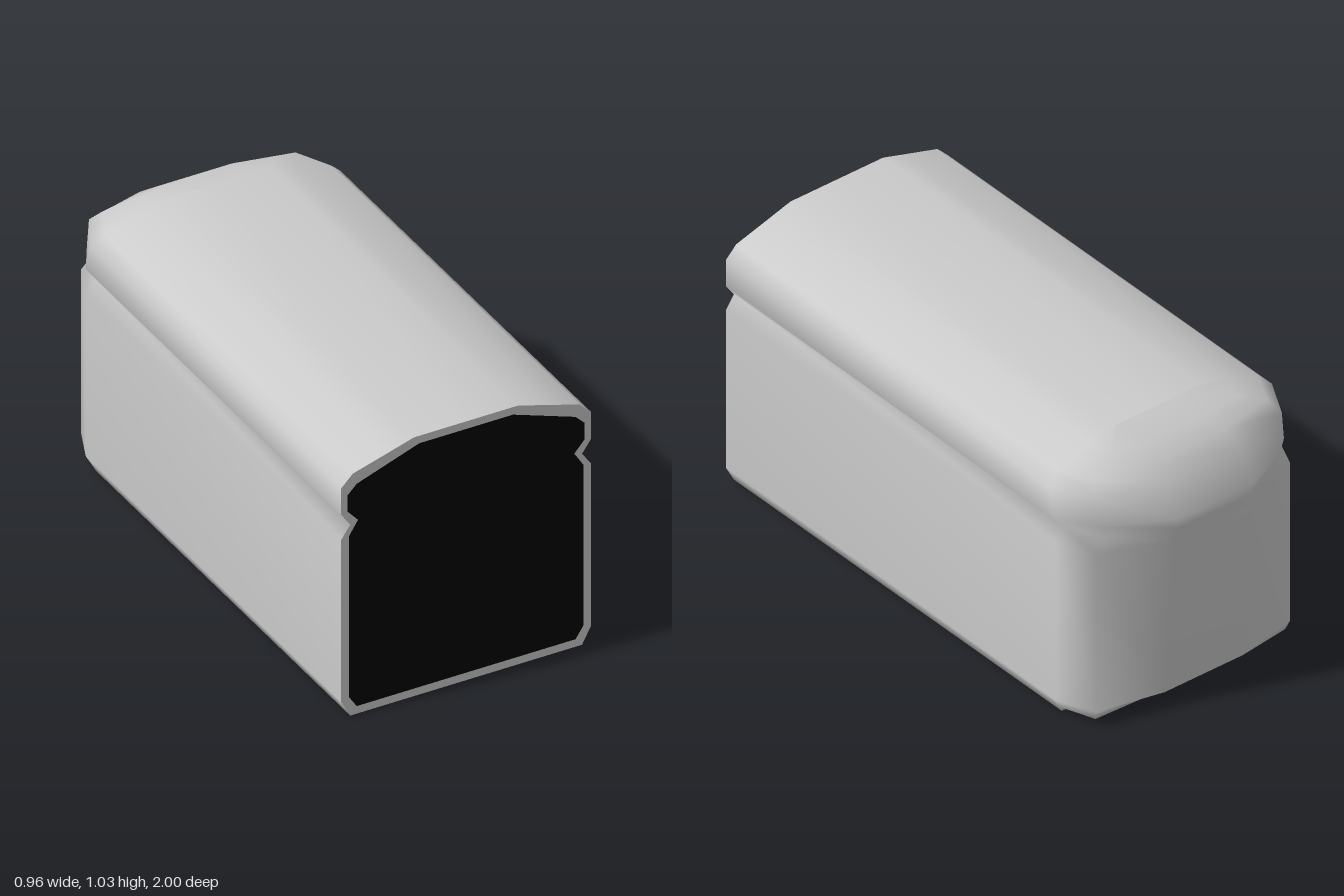
import * as THREE from 'three';

// Horizontal sections of the crust, bottom to top:
// [height, half width, z where the rounded end starts, corner x, corner z, z of the end]
const SECTIONS = [
  [0, 0.445, -0.73, 0.39, -0.73, -0.73],
  [0.025, 0.458, -0.735, 0.41, -0.865, -0.875],
  [0.065, 0.48, -0.74, 0.42, -0.88, -0.935],
  [0.71, 0.48, -0.74, 0.42, -0.88, -0.985],
  [0.76, 0.445, -0.74, 0.395, -0.86, -0.99],
  [0.81, 0.48, -0.74, 0.405, -0.865, -1],
  [0.915, 0.48, -0.71, 0.4, -0.86, -0.925],
  [0.96, 0.435, -0.69, 0.37, -0.82, -0.865],
  [1.0, 0.30, -0.69, 0.27, -0.78, -0.81],
  [1.03, 0.20, -0.69, 0.17, -0.69, -0.69],
];

// Half outline of the crumb, bottom to top
const CRUMB = [
  [0.42, 0.03], [0.45, 0.075], [0.45, 0.715], [0.415, 0.77],
  [0.455, 0.815], [0.455, 0.88], [0.42, 0.915], [0.18, 1.0],
];

// Closed outline mirrored about x = 0
function mirrored(half) {
  const other = half.map(([x, y]) => [-x, y]).reverse();
  return [...half, ...other].map(([x, y]) => new THREE.Vector2(x, y));
}

// Path from the front at +x, round the end, to the front at -x
function sectionPath([y, w, z0, cx, cz, z1]) {
  const half = [[w, y, 1], [w, y, z0], [cx, y, cz], [w * 0.35, y, z1]];
  return [...half, ...half.map(([x, , z]) => [-x, y, z]).reverse()];
}

function crustGeometry() {
  const rows = SECTIONS.map(sectionPath);
  // Flat underside and flat top meet on the centre line
  const toCentre = (row) => row.map(([, y, z]) => [0, y, z]);
  rows.unshift(toCentre(rows[0]));
  rows.push(toCentre(rows[rows.length - 1]));

  const n = rows[0].length;
  const index = [];
  for (let i = 0; i < rows.length - 1; i++) {
    for (let j = 0; j < n - 1; j++) {
      const a = i * n + j, b = a + 1, c = a + n, d = c + 1;
      index.push(a, b, c, b, d, c);
    }
  }
  const geometry = new THREE.BufferGeometry();
  geometry.setAttribute('position', new THREE.Float32BufferAttribute(rows.flat(2), 3));
  geometry.setIndex(index);
  geometry.computeVertexNormals();
  return geometry;
}

export function createModel() {
  const loaf = new THREE.Group();
  loaf.name = 'loaf';
  const crustMaterial = new THREE.MeshStandardMaterial({ color: 0xcccccc });
  const crumbMaterial = new THREE.MeshStandardMaterial({ color: 0x000000 });

  const add = (name, geometry, material) => {
    const mesh = new THREE.Mesh(geometry, material);
    mesh.name = name;
    loaf.add(mesh);
    return mesh;
  };

  // Crust shell with the rounded end
  add('crust', crustGeometry(), crustMaterial);

  // Cut edge of the crust around the crumb
  const rim = new THREE.Shape(mirrored(SECTIONS.map(([y, w]) => [w, y])));
  rim.holes.push(new THREE.Path(mirrored(CRUMB)));
  add('crustRim', new THREE.ShapeGeometry(rim), crustMaterial).position.z = 1;

  // Cut face of the crumb
  const crumb = new THREE.Shape(mirrored(CRUMB));
  add('crumb', new THREE.ShapeGeometry(crumb), crumbMaterial).position.z = 1;

  return loaf;
}
